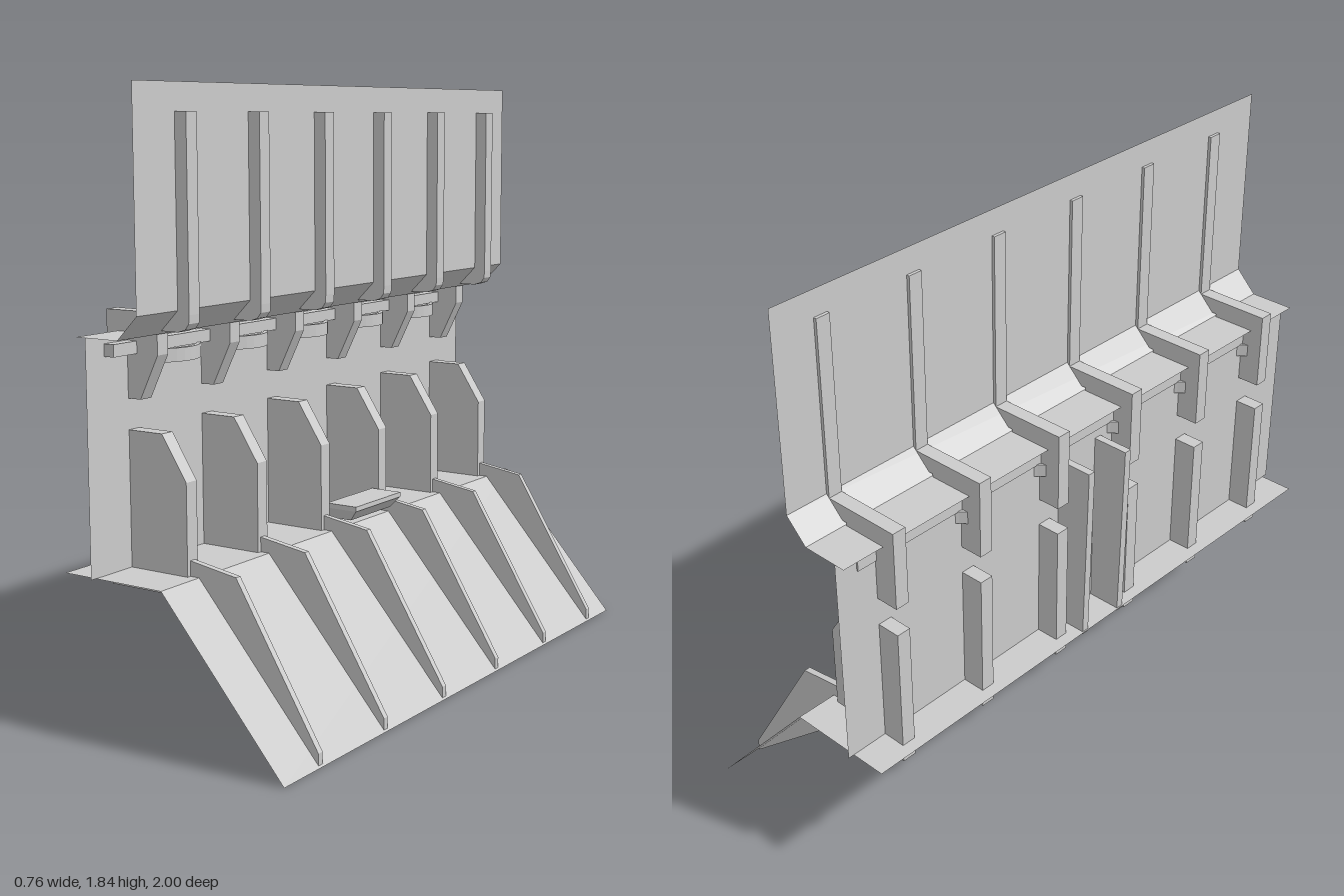
import * as THREE from 'three';

const solid = new THREE.MeshStandardMaterial({ color: 0xcccccc, flatShading: true });
const thin = new THREE.MeshStandardMaterial({ color: 0xcccccc, flatShading: true, side: THREE.DoubleSide });

export function createModel() {
  const group = new THREE.Group();

  const add = (name, geometry, material = solid) => {
    const mesh = new THREE.Mesh(geometry, material);
    mesh.name = name;
    group.add(mesh);
    return mesh;
  };

  // Side profile in x, y given a thickness around z
  const plate = (name, points, thickness, z) => {
    const shape = new THREE.Shape(points.map(([x, y]) => new THREE.Vector2(x, y)));
    const geometry = new THREE.ExtrudeGeometry(shape, { depth: thickness, bevelEnabled: false });
    add(name, geometry.translate(0, 0, z - thickness / 2));
  };

  // Folded sheet with no thickness, swept along z
  const sheet = (name, points, halfLength) => {
    const pos = [], index = [];
    points.forEach(([x, y], i) => {
      pos.push(x, y, halfLength, x, y, -halfLength);
      if (i) index.push(2 * i - 2, 2 * i, 2 * i - 1, 2 * i, 2 * i + 1, 2 * i - 1);
    });
    const geometry = new THREE.BufferGeometry();
    geometry.setAttribute('position', new THREE.Float32BufferAttribute(pos, 3));
    geometry.setIndex(index);
    geometry.computeVertexNormals();
    add(name, geometry, thin);
  };

  // Sheets: upper panel with its folded shelf, wall and sloping apron
  sheet('upperPanel', [[-0.08, 1.85], [-0.08, 1.23], [-0.15, 1.16], [-0.30, 1.16]], 1);
  sheet('wall', [[-0.265, 1.16], [-0.265, 0.48]], 1);
  sheet('apron', [[-0.38, 0.48], [-0.03, 0.48], [0.38, 0.01]], 0.98);

  // Six rows of supports
  const first = -0.835, step = 0.328;
  const hook = [
    [-0.04, 1.77], [-0.09, 1.77], [-0.09, 1.22], [-0.34, 1.22], [-0.34, 0.97], [-0.22, 0.97],
    [-0.155, 1.1], [-0.155, 1.17], [-0.08, 1.17], [-0.055, 1.178], [-0.042, 1.195], [-0.04, 1.22],
  ];
  const block = [[-0.34, 0.42], [-0.1, 0.42], [-0.06, 0.45], [-0.06, 0.75], [-0.145, 0.88], [-0.34, 0.88]];
  const fin = [[-0.1, 0.42], [0.375, 0.01], [0.375, 0.05], [0.1, 0.5], [-0.06, 0.525], [-0.1, 0.525]];
  for (let i = 0; i < 6; i++) {
    const z = first + i * step;
    plate('hookSupport', hook, 0.046, z);
    plate('wallSupport', block, 0.046, z);
    plate('apronFin', fin, 0.02, z);
  }

  // Square rod through the hooks
  add('rod', new THREE.BoxGeometry(0.04, 0.036, 1.85).translate(-0.25, 1.118, 0));

  // Curved straps between the hooks
  for (let i = 0; i < 5; i++) {
    const middle = first + (i + 0.5) * step;
    const strap = new THREE.BoxGeometry(0.015, 0.04, 0.3, 1, 1, 12);
    const p = strap.attributes.position;
    for (let k = 0; k < p.count; k++) {
      const t = p.getZ(k) / 0.15;
      p.setX(k, p.getX(k) - 0.195 - 0.1 * t * t);
    }
    strap.computeVertexNormals();
    add('strap', strap.translate(0, 1.083, middle));
  }

  // Pair of plates behind the wall
  const rear = [[-0.265, 0.47], [-0.265, 1.07], [-0.385, 1.07], [-0.385, 1.04], [-0.375, 0.47]];
  for (const z of [-0.105, 0.06]) plate('rearPlate', rear, 0.025, z);

  // Small step with a tapered underside
  add('stepTop', new THREE.BoxGeometry(0.11, 0.015, 0.26).translate(-0.025, 0.547, -0.018));
  const base = new THREE.BoxGeometry(0.11, 0.035, 0.26);
  const b = base.attributes.position;
  for (let k = 0; k < b.count; k++) {
    if (b.getY(k) > 0) continue;
    if (b.getX(k) > 0) b.setX(k, 0.025);
    b.setZ(k, b.getZ(k) * 0.88);
  }
  base.computeVertexNormals();
  add('stepBase', base.translate(-0.025, 0.523, -0.018));

  return group;
}
